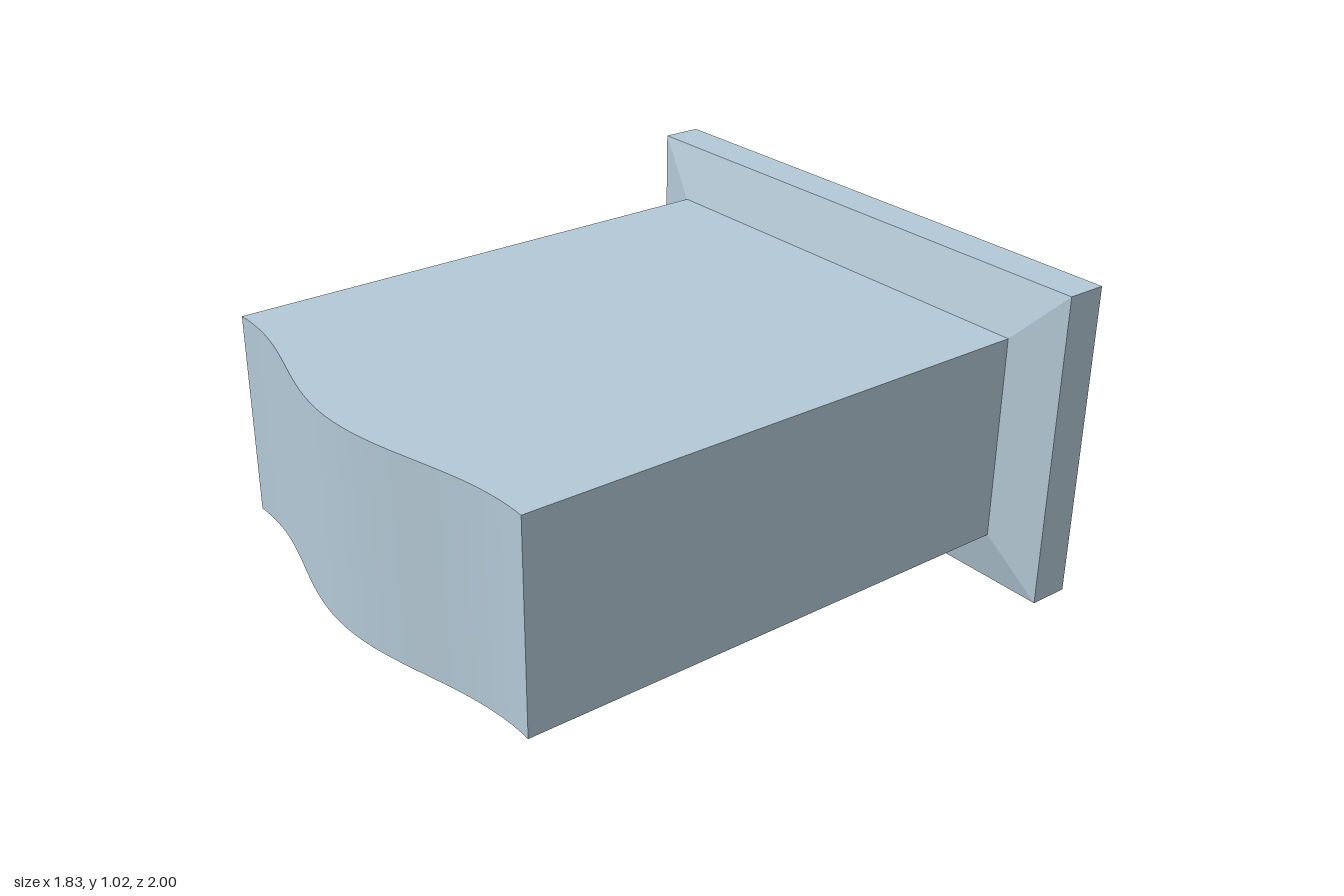
import * as THREE from 'three';
import { toCreasedNormals } from 'three/addons/utils/BufferGeometryUtils.js';

const midY = 0.508;
const body = { w: 0.745, h: 0.66, back: -0.825 };
const plate = { w: 0.917, h: 1.016, back: -1, front: -0.87 };

export function createModel() {
  const group = new THREE.Group();
  const material = new THREE.MeshStandardMaterial({ color: 0xb4c9d6 });
  const add = (name, geometry) => {
    const mesh = new THREE.Mesh(geometry, material);
    mesh.name = name;
    group.add(mesh);
    return mesh;
  };

  // Block with a gently waved front, drawn in plan (shape y = -z) and extruded upwards
  const waveZ = (x) => 0.939 + 0.061 * Math.cos((Math.PI * x) / 0.7);
  const plan = new THREE.Shape();
  plan.moveTo(body.w, -body.back);
  plan.lineTo(-body.w, -body.back);
  const steps = 64;
  for (let i = 0; i <= steps; i++) {
    const x = -body.w + (2 * body.w * i) / steps;
    plan.lineTo(x, -waveZ(x));
  }
  plan.closePath();
  const block = new THREE.ExtrudeGeometry(plan, { depth: body.h, bevelEnabled: false });
  block.rotateX(-Math.PI / 2);
  block.translate(0, midY - body.h / 2, 0);
  add('block', toCreasedNormals(block, 0.5));

  // Flat back plate
  const depth = plate.front - plate.back;
  const plateGeo = new THREE.BoxGeometry(2 * plate.w, plate.h, depth);
  add('backPlate', plateGeo).position.set(0, midY, (plate.front + plate.back) / 2);

  // Sloped collar: a box whose front face shrinks to the block outline
  const rise = body.back - plate.front;
  let collar = new THREE.BoxGeometry(2 * plate.w, plate.h, rise);
  const p = collar.attributes.position;
  for (let i = 0; i < p.count; i++) {
    if (p.getZ(i) > 0) {
      p.setXY(i, Math.sign(p.getX(i)) * body.w, (Math.sign(p.getY(i)) * body.h) / 2);
    }
  }
  collar = collar.toNonIndexed();
  collar.computeVertexNormals();
  add('slopedCollar', collar).position.set(0, midY, (plate.front + body.back) / 2);

  return group;
}
